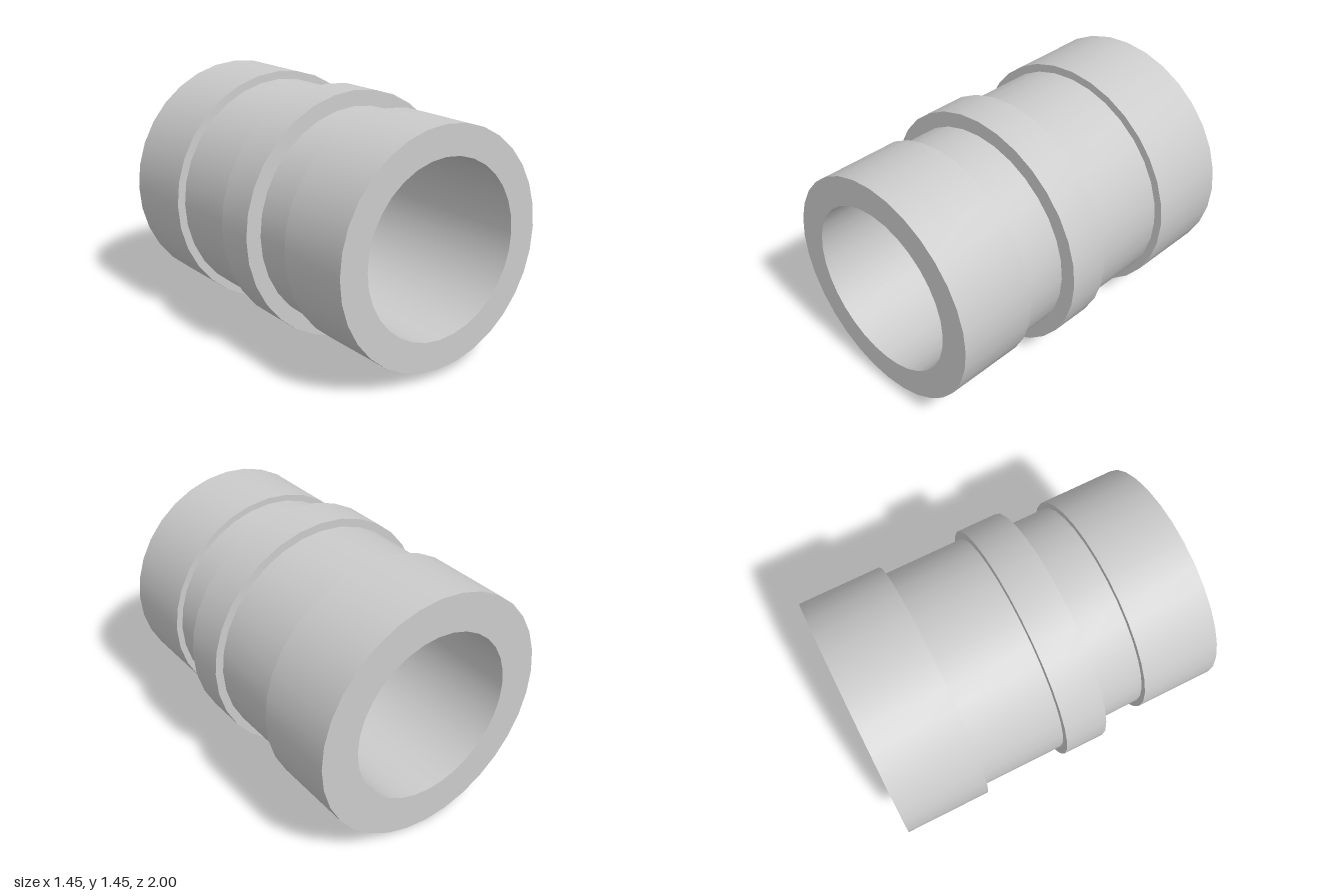
import * as THREE from 'three';
import { toCreasedNormals } from 'three/addons/utils/BufferGeometryUtils.js';

const SEGMENTS = 32;
const AXIS_HEIGHT = 0.723;
const BORE = 0.5;

// Outer steps from back to front: [z start, z end, radius]
const STEPS = [
  [-1, -0.5, 0.723],    // rear collar
  [-0.5, 0, 0.675],     // middle barrel
  [0, 0.25, 0.723],     // raised ring
  [0.25, 0.53, 0.633],  // groove
  [0.53, 1, 0.67],      // front sleeve
];

export function createModel() {
  const group = new THREE.Group();
  group.name = 'steppedBushing';

  // Closed wall profile: back face, stepped outside, front face, bore
  const profile = [new THREE.Vector2(BORE, -1)];
  for (const [start, end, radius] of STEPS) {
    profile.push(new THREE.Vector2(radius, start), new THREE.Vector2(radius, end));
  }
  profile.push(new THREE.Vector2(BORE, 1), new THREE.Vector2(BORE, -1));

  // Turn the lathe axis to run from back to front
  const lathe = new THREE.LatheGeometry(profile, SEGMENTS);
  lathe.rotateX(Math.PI / 2);

  const sleeve = new THREE.Mesh(
    toCreasedNormals(lathe, 0.6),
    new THREE.MeshStandardMaterial({ color: 0xcccccc })
  );
  sleeve.name = 'steppedSleeve';
  sleeve.position.y = AXIS_HEIGHT;
  group.add(sleeve);

  return group;
}
